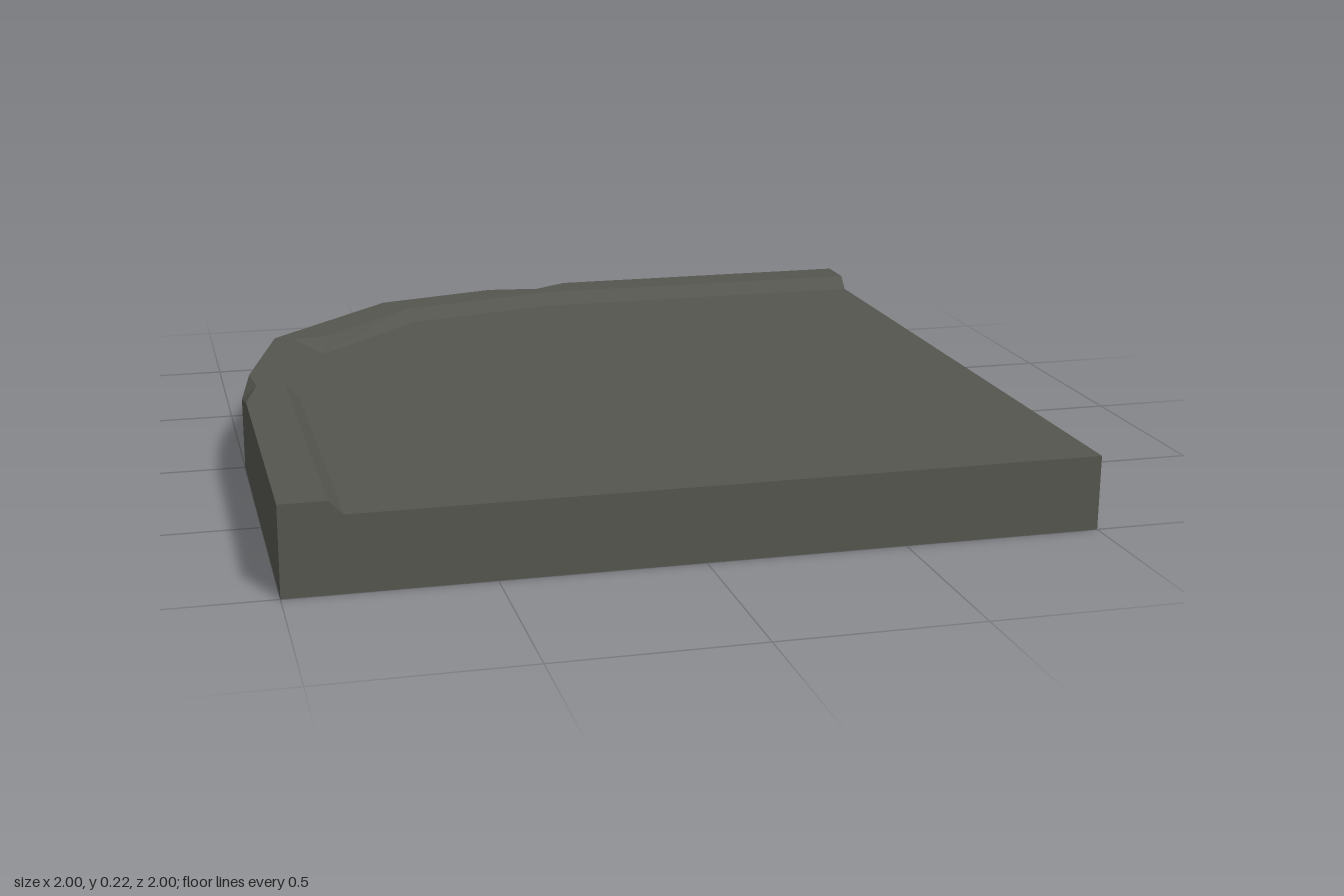
import * as THREE from 'three';

const FLOOR = 0.19, TOP = 0.225;

// Triangles of a polygon, wound so that it faces the given outward direction
function face(points, outward) {
  const n = new THREE.Vector3(...outward).normalize();
  const helper = Math.abs(n.y) > 0.7 ? new THREE.Vector3(0, 0, 1) : new THREE.Vector3(0, 1, 0);
  const u = helper.cross(n).normalize();
  const v = n.clone().cross(u);
  let pts = points.map(p => new THREE.Vector3(...p));
  const flat = list => list.map(p => new THREE.Vector2(p.dot(u), p.dot(v)));
  if (THREE.ShapeUtils.isClockWise(flat(pts))) pts = pts.reverse();
  return THREE.ShapeUtils.triangulateShape(flat(pts), [])
    .flatMap(tri => tri.flatMap(i => pts[i].toArray()));
}

const at = (y, list) => list.map(([x, z]) => [x, y, z]);

export function createModel() {
  const group = new THREE.Group();
  const stone = new THREE.MeshStandardMaterial({ color: 0x54554e });
  stone.name = 'dark stone';

  const add = (name, faces) => {
    const geometry = new THREE.BufferGeometry();
    geometry.setAttribute('position', new THREE.Float32BufferAttribute(faces.flat(), 3));
    geometry.computeVertexNormals();
    const mesh = new THREE.Mesh(geometry, stone);
    mesh.name = name;
    group.add(mesh);
  };

  // Plan outlines, running from the back right round the rounded corner to the front left
  const outer = [[1, -1], [0, -1], [-0.5, -0.866], [-0.866, -0.5], [-1, 0], [-1, 1]];
  const foot = [[1, -0.85], [0.01, -0.85], [-0.425, -0.736], [-0.736, -0.425], [-0.85, 0.01], [-0.85, 1]];
  const lip = [[1, -0.885], [0.01, -0.885], [-0.443, -0.766], [-0.766, -0.443], [-0.885, 0.01], [-0.885, 1]];

  // Chipped corners
  const backChip = [[0.1, -1], [0, -0.94], [-0.15, -0.96]];
  const sideChip = [[-0.97, -0.115], [-0.96, 0], [-1, 0.16]];
  const innerChip = [[-0.718, -0.49], [-0.815, -0.479], [-0.803, -0.307]];

  add('floor', [face(at(FLOOR, [...foot, [1, 1]]), [0, 1, 0])]);
  add('underside', [face(at(0, [...outer, [1, 1]]), [0, -1, 0])]);

  // Cut ends at the front and right, including the rim section
  const section = [[-1, 0], [1, 0], [1, FLOOR], [-0.85, FLOOR], [-0.885, TOP], [-1, TOP]];
  add('frontWall', [face(section.map(([a, y]) => [a, y, 1]), [0, 0, 1])]);
  add('rightWall', [face(section.map(([a, y]) => [1, y, a]), [1, 0, 0])]);

  // Outer walls, dipping at the chipped corners
  const extra = { 0: backChip[0], 1: backChip[2], 3: sideChip[0], 4: sideChip[2] };
  const cornerY = i => (i === 1 || i === 4 ? FLOOR : TOP);
  const walls = [];
  for (let i = 0; i < 5; i++) {
    const [a, b] = [outer[i], outer[i + 1]];
    const top = extra[i] ? at(TOP, [extra[i]]) : [];
    walls.push(face(
      [...at(0, [a, b]), ...at(cornerY(i + 1), [b]), ...top, ...at(cornerY(i), [a])],
      [b[1] - a[1], 0, a[0] - b[0]]));
  }
  // Normals point away from the centre of the tile
  add('outerWalls', walls.map((_, i) => {
    const [a, b] = [outer[i], outer[i + 1]];
    const out = [b[1] - a[1], 0, a[0] - b[0]];
    const sign = Math.sign(out[0] * (a[0] + b[0]) + out[2] * (a[1] + b[1]));
    const top = extra[i] ? at(TOP, [extra[i]]) : [];
    return face([...at(0, [a, b]), ...at(cornerY(i + 1), [b]), ...top, ...at(cornerY(i), [a])],
      out.map(c => c * sign));
  }));

  // Flat top of the raised rim
  const rim = [outer[0], ...backChip, outer[2], outer[3], ...sideChip, outer[5],
    lip[5], lip[4], ...[...innerChip].reverse(), lip[2], lip[1], lip[0]];
  add('rimTop', [face(at(TOP, rim), [0, 1, 0])]);

  // Bevel from the rim down to the floor
  const bevel = [];
  for (let i = 0; i < 5; i++) {
    const a = i === 3 ? innerChip[2] : lip[i];
    const b = i === 2 ? innerChip[0] : lip[i + 1];
    bevel.push(face([...at(TOP, [a, b]), ...at(FLOOR, [foot[i + 1], foot[i]])],
      [-(a[0] + b[0]) / 2, 1, -(a[1] + b[1]) / 2]));
  }
  add('rimBevel', bevel);

  // Facets of the chips
  const chip = (points, corner) => [0, 1].map(i =>
    face([...at(TOP, [points[i], points[i + 1]]), ...at(FLOOR, [corner])], [0, 1, 0]));
  add('backChip', chip(backChip, outer[1]));
  add('sideChip', chip(sideChip, outer[4]));
  add('innerChip', chip(innerChip, foot[3]));

  return group;
}
